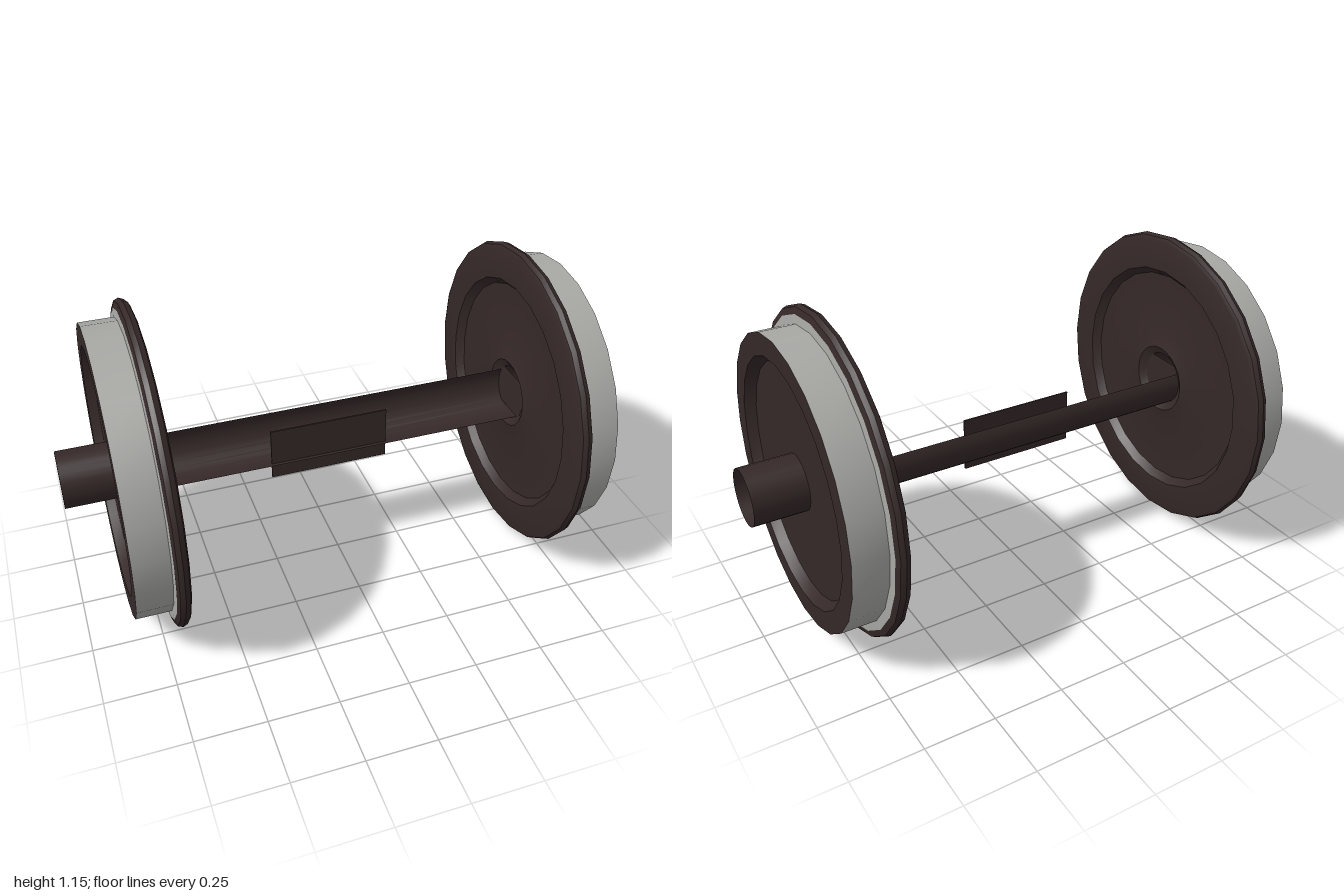
import * as THREE from 'three';
import { toCreasedNormals } from 'three/addons/utils/BufferGeometryUtils.js';

const CENTRE_Y = 0.577;
const SIDES = 24;

const iron = new THREE.MeshStandardMaterial({ color: 0x352828, side: THREE.DoubleSide });
iron.name = 'dark iron';
const steel = new THREE.MeshStandardMaterial({ color: 0xa8a8a5, side: THREE.DoubleSide });
steel.name = 'worn steel';

function part(name, geometry, material, parent) {
  const mesh = new THREE.Mesh(geometry, material);
  mesh.name = name;
  parent.add(mesh);
  return mesh;
}

// Turns a profile of [radius, x] pairs around the x axis
function turned(profile) {
  const points = profile.map(([r, x]) => new THREE.Vector2(r, x));
  const geometry = new THREE.LatheGeometry(points, SIDES).rotateZ(-Math.PI / 2);
  return toCreasedNormals(geometry, 0.6);
}

// Open tube, or part of one, along the x axis
function tube(radius, x0, x1, segments, start, sweep) {
  return new THREE.CylinderGeometry(radius, radius, x1 - x0, segments, 1, true, start, sweep)
    .rotateZ(-Math.PI / 2)
    .translate((x0 + x1) / 2, 0, 0);
}

function createWheel() {
  const wheel = new THREE.Group();

  // Inner face with raised hub, recessed web and rounded flange
  part('innerFaceAndFlange', turned([
    [0.1, 0.7], [0.13, 0.682], [0.2, 0.7], [0.42, 0.7], [0.445, 0.672],
    [0.555, 0.672], [0.57, 0.678], [0.577, 0.695], [0.57, 0.712], [0.547, 0.719],
  ]), iron, wheel);

  // Running surface
  part('tread', turned([[0.547, 0.719], [0.515, 0.722], [0.515, 0.845]]), steel, wheel);

  // Outer face with recessed web
  part('outerFace', turned([
    [0.515, 0.845], [0.437, 0.845], [0.412, 0.81], [0.1, 0.81],
  ]), iron, wheel);

  // Hollow axle end
  part('axleEnd', tube(0.1, 0.7, 1, SIDES, 0, Math.PI * 2), iron, wheel);

  // Plate across the bore, leaving gaps above and below
  const a = 0.86;
  const plate = new THREE.Shape();
  plate.absarc(0, 0, 0.1, -a, a, false);
  plate.absarc(0, 0, 0.1, Math.PI - a, Math.PI + a, false);
  part('borePlate', new THREE.ShapeGeometry(plate, 8).rotateY(Math.PI / 2).translate(0.7, 0, 0), iron, wheel);

  return wheel;
}

export function createModel() {
  const model = new THREE.Group();
  model.name = 'wheelset';

  // Left and right wheels
  for (const [name, turn] of [['leftWheel', 0], ['rightWheel', Math.PI]]) {
    const wheel = createWheel();
    wheel.name = name;
    wheel.rotation.y = turn;
    wheel.position.y = CENTRE_Y;
    model.add(wheel);
  }

  // Trough-shaped axle, open towards the upper front
  const axle = part('axle', tube(0.1, -0.7, 0.7, 10, Math.PI / 3, Math.PI * 5 / 6), iron, model);
  axle.position.y = CENTRE_Y;

  // Upright plate standing in the axle
  const plate = part('axlePlate', new THREE.BoxGeometry(0.44, 0.2, 0.006), iron, model);
  plate.position.set(-0.04, 0.52, 0.02);

  return model;
}
